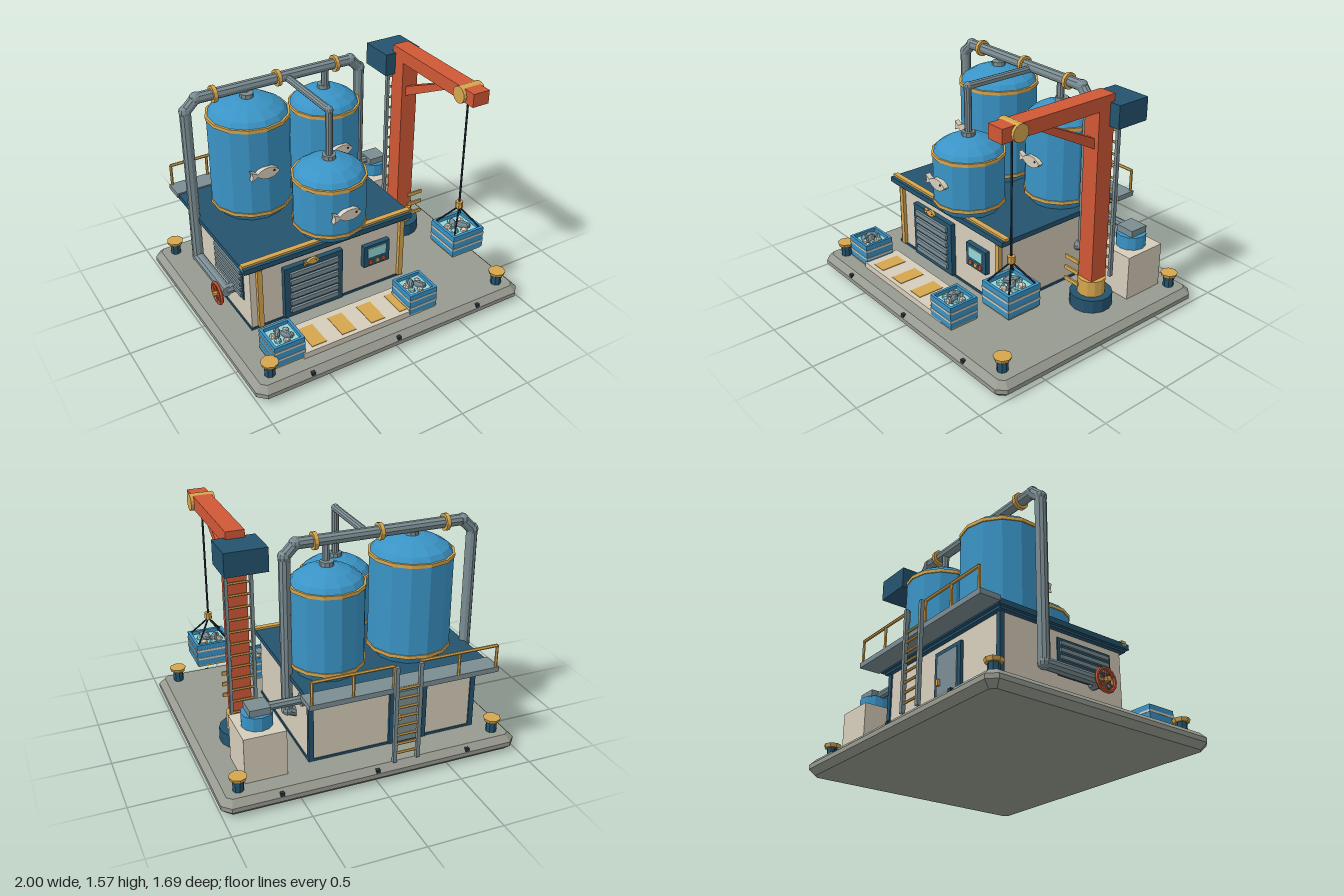
import * as THREE from 'three';

const C = { blue: 0x3a94c6, dark: 0x24536e, cream: 0xd6cdbb, gold: 0xd6a64e, red: 0xd05836, grey: 0x7b8d93, slab: 0x979a90, ice: 0x93d6d8, black: 0x26343c };
const mats = {};
const mat = c => mats[c] ??= new THREE.MeshStandardMaterial({ color: C[c], flatShading: true });
const V = (x, y, z) => new THREE.Vector3(x, y, z);

function add(parent, name, geo, color, x = 0, y = 0, z = 0) {
  const m = new THREE.Mesh(geo, mat(color));
  m.name = name;
  m.position.set(x, y, z);
  parent.add(m);
  return m;
}
// box given by its extents
const box = (p, name, color, x0, x1, y0, y1, z0, z1) =>
  add(p, name, new THREE.BoxGeometry(x1 - x0, y1 - y0, z1 - z0), color, (x0 + x1) / 2, (y0 + y1) / 2, (z0 + z1) / 2);
const cyl = (p, name, color, x, z, y0, y1, r0, r1 = r0, n = 12) =>
  add(p, name, new THREE.CylinderGeometry(r1, r0, y1 - y0, n), color, x, (y0 + y1) / 2, z);
// round bar between two points
function rod(p, name, color, a, b, r, n = 8) {
  const m = add(p, name, new THREE.CylinderGeometry(r, r, a.distanceTo(b), n), color);
  m.position.copy(a).lerp(b, 0.5);
  m.quaternion.setFromUnitVectors(V(0, 1, 0), b.clone().sub(a).normalize());
  return m;
}
// run of straight pipes with rounded joints
function pipe(p, name, pts, r) {
  pts.forEach((a, i) => {
    if (i < pts.length - 1) rod(p, name, 'grey', a, pts[i + 1], r, 10);
    if (i > 0 && i < pts.length - 1) add(p, name + 'Elbow', new THREE.SphereGeometry(r * 1.12, 10, 6), 'grey', a.x, a.y, a.z);
  });
}

function fish(parent, name, color, x, y, z, s = 1) {
  const g = new THREE.Group(), sh = new THREE.Shape();
  sh.moveTo(-0.1, 0.033);
  sh.lineTo(-0.058, 0.009);
  sh.quadraticCurveTo(-0.01, 0.05, 0.05, 0.036);
  sh.quadraticCurveTo(0.085, 0.022, 0.1, 0);
  sh.quadraticCurveTo(0.085, -0.022, 0.05, -0.036);
  sh.quadraticCurveTo(-0.01, -0.05, -0.058, -0.009);
  sh.lineTo(-0.1, -0.033);
  sh.lineTo(-0.09, 0);
  add(g, 'fishBody', new THREE.ExtrudeGeometry(sh, { depth: 0.035, bevelEnabled: false, curveSegments: 4 }), color);
  add(g, 'fishEye', new THREE.CylinderGeometry(0.007, 0.007, 0.006, 8), 'black', 0.06, 0.01, 0.037).rotation.x = Math.PI / 2;
  g.name = name;
  g.position.set(x, y, z);
  g.scale.setScalar(s);
  parent.add(g);
}

// faceted tank with chamfered foot, stepped dome, bands and a nozzle
function tank(parent, x, z, r, top) {
  const g = new THREE.Group();
  g.name = 'tank';
  g.position.set(x, 0, z);
  const prof = [[0, 0.62], [0.84, 0.62], [1, 0.69], [1, top], [0.88, top + 0.045], [0.62, top + 0.085], [0.3, top + 0.11], [0, top + 0.115]];
  add(g, 'tankShell', new THREE.LatheGeometry(prof.map(([a, b]) => new THREE.Vector2(a * r, b)), 14), 'blue');
  for (const y of [0.685, top]) cyl(g, 'tankBand', 'gold', 0, 0, y - 0.012, y + 0.012, r * 1.025, r * 1.025, 14);
  cyl(g, 'nozzle', 'grey', 0, 0, top + 0.09, top + 0.14, 0.045, 0.045, 10);
  parent.add(g);
}

// fish crate filled with ice
function crate(parent, x, y, z, s = 1) {
  const g = new THREE.Group(), w = 0.105, h = 0.165, t = 0.018;
  box(g, 'crateFloor', 'gold', -w + 0.005, w - 0.005, 0, 0.015, -w + 0.005, w - 0.005);
  for (const k of [-1, 1]) {
    const a = k * (w - t / 2);
    box(g, 'crateSide', 'blue', a - t / 2, a + t / 2, 0.012, h, -w, w);
    box(g, 'crateEnd', 'blue', -w + t, w - t, 0.012, h, a - t / 2, a + t / 2);
  }
  for (const yy of [0.055, 0.115]) for (const k of [-1, 1]) {
    box(g, 'crateStripe', 'cream', -w, w, yy, yy + 0.014, k * w - 0.003, k * w + 0.003);
    box(g, 'crateStripe', 'cream', k * w - 0.003, k * w + 0.003, yy, yy + 0.014, -w, w);
  }
  box(g, 'ice', 'ice', -w + t, w - t, 0.015, 0.14, -w + t, w - t);
  for (let i = 0; i < 6; i++) {
    const a = i * Math.PI / 3 + 0.4;
    add(g, 'iceLump', new THREE.IcosahedronGeometry(0.024, 0), i % 2 ? 'cream' : 'ice', 0.055 * Math.cos(a), 0.145, 0.055 * Math.sin(a)).rotation.set(a, i, 0);
  }
  for (const k of [-1, 1]) {
    const f = add(g, 'catch', new THREE.SphereGeometry(0.03, 7, 5), 'grey', k * 0.022, 0.16, k * 0.018);
    f.scale.set(0.7, 0.9, 1.6);
    f.rotation.y = k * 0.5;
  }
  g.name = 'crate';
  g.position.set(x, y, z);
  g.scale.set(s, 1, s);
  parent.add(g);
}

export function createModel() {
  const root = new THREE.Group();
  root.name = 'fishPlant';

  // bevelled slab with cut corners
  const sh = new THREE.Shape(), X = 0.96, Z = 0.805, c = 0.03;
  sh.setFromPoints([[X - c, -Z], [X, -Z + c], [X, Z - c], [X - c, Z], [-X + c, Z], [-X, Z - c], [-X, -Z + c], [-X + c, -Z]].map(q => new THREE.Vector2(...q)));
  const slab = new THREE.ExtrudeGeometry(sh, { depth: 0.03, bevelThickness: 0.04, bevelSize: 0.04, bevelSegments: 1 });
  add(root, 'slab', slab.rotateX(-Math.PI / 2), 'slab', 0, 0.04, 0);
  for (const x of [-0.63, 0, 0.63]) for (const k of [-1, 1]) box(root, 'slabBolt', 'black', x - 0.013, x + 0.013, 0.073, 0.095, k * 0.83 - 0.012, k * 0.83 + 0.012);
  for (const x of [-0.87, 0.87]) for (const z of [-0.725, 0.725]) {
    cyl(root, 'bollard', 'dark', x, z, 0.1, 0.19, 0.036, 0.036, 8);
    cyl(root, 'bollardCap', 'gold', x, z, 0.185, 0.21, 0.05, 0.058, 8);
  }

  // building
  box(root, 'walls', 'cream', -0.78, 0.37, 0.11, 0.58, -0.61, 0.31);
  box(root, 'wallFoot', 'dark', -0.787, 0.377, 0.11, 0.125, -0.617, 0.317);
  box(root, 'roofLip', 'dark', -0.81, 0.39, 0.57, 0.59, -0.64, 0.33);
  box(root, 'roof', 'dark', -0.83, 0.41, 0.585, 0.62, -0.66, 0.345);
  box(root, 'roofTrim', 'gold', -0.83, 0.41, 0.605, 0.635, 0.285, 0.322);
  for (const x of [-0.72, 0.345]) box(root, 'frontPost', 'gold', x - 0.017, x + 0.017, 0.125, 0.57, 0.3, 0.335);
  for (const x of [-0.77, 0.36]) box(root, 'backPost', 'dark', x - 0.017, x + 0.017, 0.125, 0.57, -0.62, -0.59);

  // roller door and sign
  box(root, 'rollerDoor', 'dark', -0.555, -0.125, 0.13, 0.52, 0.3, 0.345);
  for (let i = 0; i < 6; i++) box(root, 'doorSlat', 'grey', -0.515, -0.165, 0.17 + i * 0.056, 0.204 + i * 0.056, 0.33, 0.362);
  fish(root, 'signFish', 'gold', -0.36, 0.52, 0.335, 0.55);

  // control panel
  box(root, 'controlPanel', 'dark', 0.04, 0.24, 0.305, 0.47, 0.3, 0.345);
  box(root, 'screen', 'ice', 0.07, 0.21, 0.375, 0.45, 0.33, 0.352);
  [['red', 0.09], ['gold', 0.145], ['red', 0.19]].forEach(([col, x]) => box(root, 'button', col, x - 0.015, x + 0.015, 0.325, 0.35, 0.33, 0.355));

  // side louvres
  box(root, 'louvreFrame', 'dark', -0.787, -0.77, 0.29, 0.53, -0.2, 0.22);
  for (let i = 0; i < 5; i++) box(root, 'louvre', 'grey', -0.8, -0.78, 0.305 + i * 0.045, 0.33 + i * 0.045, -0.18, 0.2);

  // back door
  box(root, 'backDoorFrame', 'dark', -0.43, -0.17, 0.115, 0.52, -0.63, -0.6);
  box(root, 'backDoor', 'grey', -0.4, -0.2, 0.125, 0.49, -0.638, -0.6);
  box(root, 'doorHandle', 'gold', -0.24, -0.22, 0.29, 0.33, -0.655, -0.63);

  // rear walkway with railings and ladder
  box(root, 'walkway', 'grey', -0.84, 0.44, 0.595, 0.63, -0.8, -0.655);
  for (const [a, b] of [[-0.82, -0.29], [-0.11, 0.42]]) {
    rod(root, 'handrail', 'gold', V(a, 0.78, -0.79), V(b, 0.78, -0.79), 0.011, 6);
    for (const x of [a, (a + b) / 2, b]) rod(root, 'railPost', 'gold', V(x, 0.62, -0.79), V(x, 0.78, -0.79), 0.01, 6);
  }
  for (const x of [-0.28, -0.12]) box(root, 'ladderRail', 'grey', x - 0.012, x + 0.012, 0.11, 0.78, -0.825, -0.8);
  for (let i = 0; i < 8; i++) rod(root, 'ladderRung', 'gold', V(-0.28, 0.17 + i * 0.065, -0.812), V(-0.12, 0.17 + i * 0.065, -0.812), 0.009, 6);

  // tanks with fish plates
  tank(root, -0.435, -0.325, 0.27, 1.3);
  tank(root, 0.155, -0.37, 0.24, 1.2);
  tank(root, -0.13, 0.18, 0.24, 1.015);
  fish(root, 'tankFish', 'cream', -0.465, 1, -0.07);
  fish(root, 'tankFish', 'cream', 0.13, 0.95, -0.145);
  fish(root, 'tankFish', 'cream', -0.15, 0.85, 0.41);

  // manifold and branch pipes
  const mz = -0.355;
  pipe(root, 'manifold', [V(-0.845, 0.3, 0.1), V(-0.845, 0.3, mz), V(-0.845, 1.4, mz), V(-0.77, 1.472, mz), V(0.35, 1.472, mz), V(0.42, 1.4, mz), V(0.42, 0.36, mz), V(0.35, 0.33, mz)], 0.037);
  for (const x of [-0.65, -0.2, 0.23]) rod(root, 'pipeClamp', 'gold', V(x - 0.013, 1.472, mz), V(x + 0.013, 1.472, mz), 0.056, 12);
  pipe(root, 'branch', [V(-0.13, 1.12, 0.18), V(-0.13, 1.46, 0.18), V(-0.13, 1.46, mz)], 0.025);
  rod(root, 'branch', 'grey', V(-0.435, 1.4, -0.335), V(-0.435, 1.46, mz), 0.025);
  rod(root, 'branch', 'grey', V(0.155, 1.3, mz), V(0.155, 1.46, mz), 0.025);
  rod(root, 'pipeStub', 'grey', V(-0.845, 0.3, 0.07), V(-0.77, 0.3, 0.07), 0.037);

  // valve wheel
  rod(root, 'valveStem', 'gold', V(-0.93, 0.29, 0.065), V(-0.84, 0.29, 0.065), 0.018);
  add(root, 'valveWheel', new THREE.TorusGeometry(0.072, 0.012, 6, 14), 'red', -0.9, 0.29, 0.065).rotation.y = Math.PI / 2;
  for (let i = 0; i < 3; i++) {
    const a = i * Math.PI / 3, y = 0.072 * Math.cos(a), z = 0.072 * Math.sin(a);
    rod(root, 'valveSpoke', 'red', V(-0.9, 0.29 - y, 0.065 - z), V(-0.9, 0.29 + y, 0.065 + z), 0.007, 6);
  }

  // crane
  const cx = 0.68;
  cyl(root, 'craneFoot', 'dark', cx, -0.18, 0.11, 0.2, 0.14, 0.14, 14);
  cyl(root, 'craneCollar', 'gold', cx, -0.18, 0.2, 0.31, 0.092, 0.092, 12);
  box(root, 'craneColumn', 'red', cx - 0.06, cx + 0.06, 0.3, 1.56, -0.245, -0.12);
  box(root, 'boom', 'red', cx - 0.06, cx + 0.06, 1.47, 1.56, -0.24, 0.62);
  const brace = new THREE.Shape([[-0.36, 1.48], [-0.27, 1.48], [0.14, 1.285], [0.14, 1.215]].map(q => new THREE.Vector2(...q)));
  const bg = new THREE.ExtrudeGeometry(brace, { depth: 0.06, bevelEnabled: false });
  add(root, 'brace', bg.rotateY(Math.PI / 2), 'red', cx - 0.03, 0, 0);
  box(root, 'counterweight', 'dark', cx - 0.135, cx + 0.135, 1.36, 1.512, -0.45, -0.21);
  for (const k of [-1, 1]) box(root, 'craneLadderRail', 'grey', cx + k * 0.08 - 0.01, cx + k * 0.08 + 0.01, 0.31, 1.37, -0.28, -0.255);
  for (let i = 0; i < 13; i++) rod(root, 'craneRung', 'gold', V(cx - 0.08, 0.36 + i * 0.08, -0.267), V(cx + 0.08, 0.36 + i * 0.08, -0.267), 0.008, 6);
  for (const y of [0.34, 0.42, 0.5]) box(root, 'stepBar', 'gold', cx - 0.06, cx + 0.06, y - 0.013, y + 0.013, -0.006, 0.006);

  // pulley, cable and hanging crate
  rod(root, 'pulley', 'gold', V(cx - 0.08, 1.512, 0.5), V(cx + 0.08, 1.512, 0.5), 0.056, 14);
  rod(root, 'cable', 'black', V(cx, 1.5, 0.5), V(cx, 0.7, 0.5), 0.007, 6);
  cyl(root, 'hookBlock', 'gold', cx, 0.5, 0.665, 0.71, 0.025, 0.025, 8);
  for (const i of [-1, 1]) for (const k of [-1, 1]) rod(root, 'sling', 'black', V(cx, 0.67, 0.5), V(cx + i * 0.1, 0.53, 0.5 + k * 0.1), 0.006, 6);
  crate(root, cx, 0.367, 0.5, 1.17);

  // pump on its plinth
  box(root, 'plinth', 'cream', 0.54, 0.815, 0.11, 0.42, -0.685, -0.38);
  cyl(root, 'pump', 'blue', cx, -0.535, 0.42, 0.51, 0.1, 0.1, 12);
  box(root, 'pumpHead', 'grey', 0.61, 0.745, 0.5, 0.555, -0.605, -0.47);
  rod(root, 'pumpPipe', 'grey', V(0.36, 0.525, -0.54), V(0.63, 0.525, -0.54), 0.028);
  rod(root, 'pumpFlange', 'grey', V(0.37, 0.525, -0.54), V(0.4, 0.525, -0.54), 0.045, 10);

  // loading pad and crates
  box(root, 'loadingPad', 'cream', -0.63, 0.26, 0.11, 0.152, 0.455, 0.72);
  for (let i = 0; i < 4; i++) box(root, 'padMark', 'gold', -0.555 + i * 0.218, -0.45 + i * 0.218, 0.14, 0.156, 0.505, 0.69);
  crate(root, -0.72, 0.11, 0.605);
  crate(root, 0.262, 0.11, 0.618);

  return root;
}
